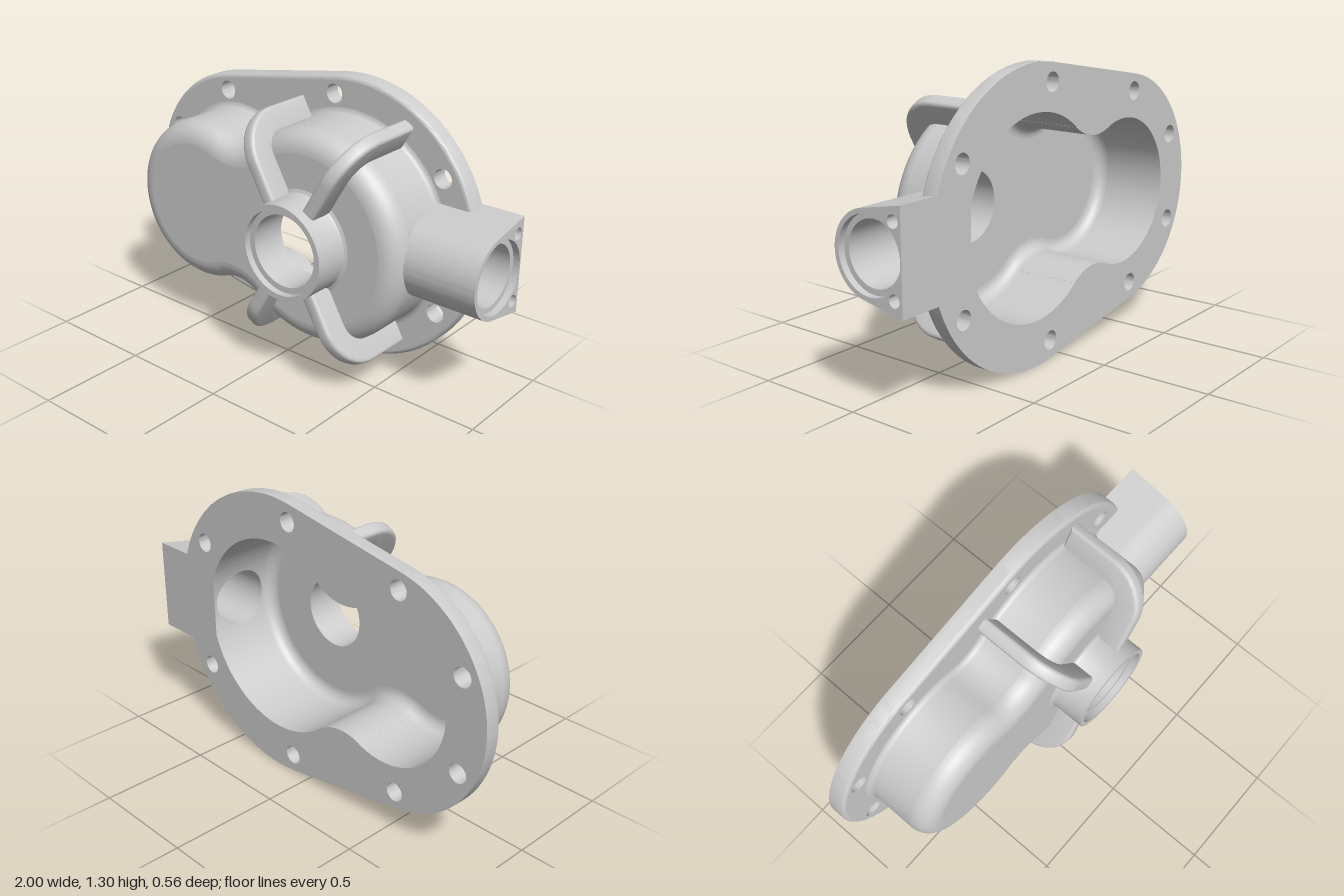
import * as THREE from 'three';
import { toCreasedNormals } from 'three/addons/utils/BufferGeometryUtils.js';

const CX = 0.19, LX = -0.46;        // centres of the large and small lobes
const BACK = -0.28, FACE = -0.2;    // flange planes
const PIPE_Z = -0.115, BORE = 0.135, GAP = 0.4, GAP_TOP = 0.025;
const material = new THREE.MeshStandardMaterial({ color: 0xcccccc, side: THREE.DoubleSide });

function add(parent, name, geometry, crease = 0.6) {
  const mesh = new THREE.Mesh(toCreasedNormals(geometry, crease), material);
  mesh.name = name;
  parent.add(mesh);
  return mesh;
}

function flip(geometry) {
  const index = geometry.index.array;
  for (let i = 0; i < index.length; i += 3) [index[i], index[i + 1]] = [index[i + 1], index[i]];
  return geometry;
}

// Skin through rings of [x, y, z] points
function loft(rings) {
  const n = rings[0].length, index = [];
  for (let i = 0; i < rings.length - 1; i++) {
    for (let j = 0; j < n - 1; j++) {
      const a = i * n + j, d = a + n;
      index.push(a, a + 1, d + 1, a, d + 1, d);
    }
  }
  const geometry = new THREE.BufferGeometry();
  geometry.setAttribute('position', new THREE.Float32BufferAttribute(rings.flat(2), 3));
  geometry.setIndex(index);
  return geometry;
}

// Arcs of [centre x, centre y, radius, from, to, offset sign], mirrored about y = 0
function contour(arcs, inset) {
  const half = [];
  for (const [x, y, r, from, to, sign] of arcs) {
    for (let i = 0; i <= 28; i++) {
      const t = from + (to - from) * i / 28, q = r - sign * inset;
      half.push([x + q * Math.cos(t), y + q * Math.sin(t)]);
    }
  }
  return [...half, ...half.slice(0, -1).reverse().map(([x, y]) => [x, -y])];
}

// Two lobes joined by concave necks
function bodyContour(inset, start = 0) {
  const nx = -0.237, ny = 0.535;
  const right = Math.atan2(ny, nx - CX), left = Math.atan2(ny, nx - LX);
  return contour([
    [CX, 0, 0.485, start, right, 1],
    [nx, ny, 0.2, right - Math.PI, left - Math.PI, -1],
    [LX, 0, 0.38, left, Math.PI, 1],
  ], inset);
}

// Two circles joined by tangents
function flangeContour(inset, start = 0) {
  const t = Math.acos(-0.11 / 0.65);
  return contour([[CX, 0, 0.65, start, t, 1], [LX, 0, 0.54, t, Math.PI, 1]], inset);
}

const skin = (outline, profile, start) =>
  loft(profile.map(([inset, z]) => outline(inset, start).map(([x, y]) => [x, y, z])));

const toPath = (points, Type = THREE.Path) => new Type(points.map(([x, y]) => new THREE.Vector2(x, y)));
const circle = (x, y, r) => new THREE.Path().absarc(x, y, r, 0, Math.PI * 2);

function plate(points, holes, z) {
  const shape = toPath(points, THREE.Shape);
  shape.holes.push(...holes);
  return new THREE.ShapeGeometry(shape, 32).translate(0, 0, z);
}

// Quarter-round from wall to face
function rounded(r, z) {
  return Array.from({ length: 9 }, (_, i) => {
    const t = i / 8 * Math.PI / 2;
    return [r * (1 - Math.cos(t)), z - r + r * Math.sin(t)];
  });
}

// Curved wall panel with the side bore cut through it
function borePanel(R) {
  const n = 14, corners = [[-GAP, BACK], [GAP, BACK], [GAP, GAP_TOP], [-GAP, GAP_TOP], [-GAP, BACK]];
  const rings = [[], [], [], [], []];
  for (let k = 0; k <= 4 * n; k++) {
    const side = Math.min(3, Math.floor(k / n)), f = k / n - side;
    const a = corners[side], b = corners[side + 1];
    const theta = a[0] + (b[0] - a[0]) * f, z = a[1] + (b[1] - a[1]) * f;
    const phi = Math.atan2(z - PIPE_Z, R * Math.sin(theta));
    const holeTheta = Math.asin(BORE * Math.cos(phi) / R), holeZ = PIPE_Z + BORE * Math.sin(phi);
    rings.forEach((ring, i) => {
      const t = THREE.MathUtils.lerp(theta, holeTheta, i / 4);
      ring.push([CX + R * Math.cos(t), R * Math.sin(t), THREE.MathUtils.lerp(z, holeZ, i / 4)]);
    });
  }
  return loft(rings);
}

// Side port section running along x
function portSection(x0, x1, bore) {
  const c = -PIPE_Z, r = 0.18, dx = 0.165, dy = 0.215;
  const t = Math.atan2(dy, dx) + Math.acos(r / Math.hypot(dx, dy));
  const shape = new THREE.Shape().moveTo(-BACK, -dy).lineTo(-BACK, dy);
  shape.absarc(c, 0, r, t, Math.PI * 2 - t).closePath();
  shape.holes.push(circle(c, 0, bore), circle(0.24, 0.15, 0.027), circle(0.24, -0.15, 0.027));
  return new THREE.ExtrudeGeometry(shape, { depth: x1 - x0, bevelEnabled: false, curveSegments: 32 })
    .rotateY(Math.PI / 2).translate(x0, 0, 0);
}

export function createModel() {
  const model = new THREE.Group();
  model.name = 'gearHousingCover';
  const housing = new THREE.Group();
  housing.name = 'housing';
  housing.position.y = 0.65;
  model.add(housing);

  // Flange with eight bolt holes
  const bolts = [[0.66, 0.31], [0.09, 0.56], [-0.54, 0.455], [-0.87, 0.21]]
    .flatMap(([x, y]) => [[x, y], [x, -y]]);
  const boltHoles = () => bolts.map(([x, y]) => circle(x, y, 0.043));
  const slot = Math.asin(0.18 / 0.65);
  add(housing, 'flangeRim', skin(flangeContour, [[0, BACK], ...rounded(0.02, FACE)], slot));
  add(housing, 'flangeFront', plate(
    [...flangeContour(0.02, slot), ...bodyContour(-0.025, GAP).reverse()], boltHoles(), FACE));
  add(housing, 'flangeBack', flip(plate(
    flangeContour(0), [toPath(bodyContour(0.04)), ...boltHoles()], BACK)));
  for (const [x, y] of bolts) {
    add(housing, 'boltHole', flip(new THREE.CylinderGeometry(0.043, 0.043, FACE - BACK, 32, 1, true)
      .rotateX(Math.PI / 2).translate(x, y, (BACK + FACE) / 2)));
  }

  // Outer shell
  add(housing, 'shellWall', skin(bodyContour,
    [[-0.025, FACE], [-0.012, -0.197], [-0.003, -0.188], [0, -0.175], [0, GAP_TOP]], GAP));
  add(housing, 'shellBorePanel', borePanel(0.485));
  add(housing, 'shellShoulder', skin(bodyContour, rounded(0.095, 0.12)));
  add(housing, 'shellFace', plate(bodyContour(0.095), [circle(CX, 0, 0.2)], 0.12));

  // Inner cavity
  const cavityContour = (inset, start) => bodyContour(inset + 0.04, start);
  add(housing, 'cavityWall', flip(skin(cavityContour, [[0, BACK], [0, GAP_TOP]], GAP)));
  add(housing, 'cavityBorePanel', flip(borePanel(0.445)));
  add(housing, 'cavityFillet', flip(skin(cavityContour, rounded(0.055, 0.08))));
  add(housing, 'cavityFloor', flip(plate(cavityContour(0.055), [circle(CX, 0, 0.162)], 0.08)));

  // Shaft boss with counterbore
  const bossProfile = [[0.235, 0.12], [0.221, 0.126], [0.215, 0.14], [0.215, 0.28], [0.19, 0.28],
    [0.19, 0.25], [0.162, 0.25], [0.162, 0.08]].map(([r, z]) => new THREE.Vector2(r, z));
  add(housing, 'shaftBoss', new THREE.LatheGeometry(bossProfile, 64)
    .rotateX(Math.PI / 2).translate(CX, 0, 0));

  // Side port, its inner end fitted to the curved wall
  const port = portSection(0.6, 0.97, BORE), p = port.attributes.position;
  for (let i = 0; i < p.count; i++) {
    if (p.getX(i) > 0.7) continue;
    const onBore = Math.hypot(p.getY(i), p.getZ(i) - PIPE_Z) < BORE + 0.001;
    p.setX(i, CX + Math.sqrt((onBore ? 0.445 : 0.475) ** 2 - p.getY(i) ** 2));
  }
  add(housing, 'sidePort', port);
  add(housing, 'sidePortRim', portSection(0.97, 1, 0.16));

  // Four hooked ribs around the boss
  const rib = new THREE.Shape().moveTo(0.46, FACE).lineTo(0.589, FACE).lineTo(0.589, 0.02);
  rib.absarc(0.379, 0.02, 0.21, 0, Math.PI / 2).lineTo(0.2, 0.23);
  rib.lineTo(0.2, 0.1).lineTo(0.42, 0.1).lineTo(0.46, 0.05).closePath();
  const bevel = 0.016, depth = 0.065 - 2 * bevel;
  const ribGeometry = new THREE.ExtrudeGeometry(rib, {
    depth, curveSegments: 16, bevelSize: bevel, bevelThickness: bevel, bevelOffset: -bevel, bevelSegments: 3,
  }).translate(0, 0, -depth / 2).rotateX(Math.PI / 2);
  for (const degrees of [60, 120, 240, 300]) {
    const mesh = add(housing, 'rib', ribGeometry);
    mesh.position.x = CX;
    mesh.rotation.z = THREE.MathUtils.degToRad(degrees);
  }
  return model;
}
